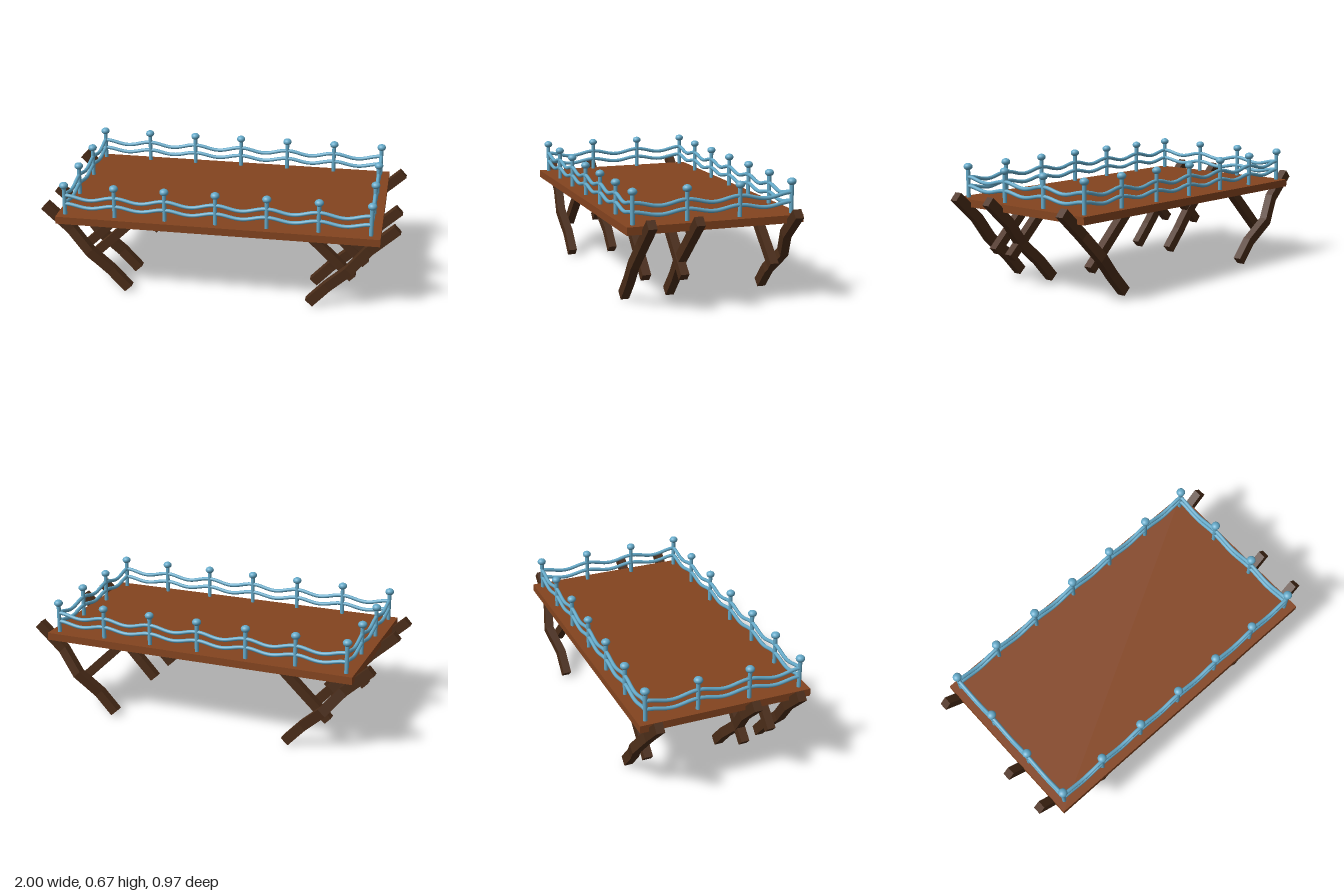
import * as THREE from 'three';

const wood = new THREE.MeshStandardMaterial({ color: 0x84441f });
const darkWood = new THREE.MeshStandardMaterial({ color: 0x4a2c18, flatShading: true });
const blue = new THREE.MeshStandardMaterial({ color: 0x64a9c8 });

function add(parent, name, geometry, material, x = 0, y = 0, z = 0) {
  const mesh = new THREE.Mesh(geometry, material);
  mesh.name = name;
  mesh.position.set(x, y, z);
  parent.add(mesh);
  return mesh;
}

// Rectangular beam swept along points [x, y, z], mitred in the xy plane
function beam(points, thick, depth) {
  const pts = points.map(p => new THREE.Vector3(...p));
  const dir = (a, b) => new THREE.Vector2(b.x - a.x, b.y - a.y).normalize();
  const rings = pts.map((p, i) => {
    const before = dir(pts[Math.max(i - 1, 0)], pts[Math.max(i, 1)]);
    const last = pts.length - 1;
    const after = dir(pts[Math.min(i, last - 1)], pts[Math.min(i + 1, last)]);
    const t = before.clone().add(after).normalize();
    const h = thick / 2 / t.dot(before);
    return [[1, 1], [-1, 1], [-1, -1], [1, -1]].map(([n, d]) =>
      [p.x - t.y * h * n, p.y + t.x * h * n, p.z + d * depth / 2]);
  });
  const out = [];
  const quad = (a, b, c, d) => out.push(...a, ...b, ...c, ...a, ...c, ...d);
  for (let i = 0; i < rings.length - 1; i++) {
    for (let k = 0; k < 4; k++) {
      const m = (k + 1) % 4;
      quad(rings[i][k], rings[i][m], rings[i + 1][m], rings[i + 1][k]);
    }
  }
  quad(...[...rings[0]].reverse());
  quad(...rings[rings.length - 1]);
  const g = new THREE.BufferGeometry();
  g.setAttribute('position', new THREE.Float32BufferAttribute(out, 3));
  g.computeVertexNormals();
  return g;
}

// Sagging rail between two posts
function rail(x0, z0, x1, z1, y, sag) {
  const pts = [];
  for (let i = 0; i <= 10; i++) {
    const t = i / 10;
    const drop = sag * (1 - Math.cos(2 * Math.PI * t)) / 2;
    pts.push(new THREE.Vector3(x0 + (x1 - x0) * t, y - drop, z0 + (z1 - z0) * t));
  }
  return new THREE.TubeGeometry(new THREE.CatmullRomCurve3(pts), 20, 0.0105, 10);
}

export function createModel() {
  const model = new THREE.Group();
  model.name = 'platform';

  add(model, 'deck', new THREE.BoxGeometry(1.79, 0.042, 0.974), wood, 0, 0.455, 0);

  // Crooked legs and their braces: z, sideways bend, brace z, brace outward shift
  const supports = new THREE.Group();
  supports.name = 'supports';
  model.add(supports);
  const rows = [
    [0.384, 0.014, 0.337, 0],
    [0.128, 0.017, 0.148, 0.06],
    [-0.416, -0.034, -0.388, 0],
  ];
  for (const s of [1, -1]) {
    for (const [z, bend, braceZ, shift] of rows) {
      add(supports, 'leg', beam([
        [s * 0.981, 0.5, z],
        [s * 0.835, 0.365, z],
        [s * 0.73, 0.238, z + bend],
        [s * 0.612, 0.125, z],
        [s * 0.515, 0.0195, z],
      ], 0.055, 0.047), darkWood);
      add(supports, 'brace', beam([
        [s * (0.749 + shift), 0.169, braceZ],
        [s * (0.45 + shift), 0.456, braceZ],
      ], 0.049, 0.047), darkWood);
    }
  }

  // Post positions around the deck edge
  const nx = 6, nz = 3;
  const px = i => -0.85 + i * 0.282;
  const pz = j => -0.441 + j * 0.2935;
  const loop = [];
  for (let i = 0; i < nx; i++) loop.push([px(i), pz(0)]);
  for (let j = 0; j < nz; j++) loop.push([px(nx), pz(j)]);
  for (let i = nx; i > 0; i--) loop.push([px(i), pz(nz)]);
  for (let j = nz; j > 0; j--) loop.push([px(0), pz(j)]);

  // Fence: posts with ball caps, two rails per bay
  const fence = new THREE.Group();
  fence.name = 'fence';
  model.add(fence);
  const post = new THREE.CylinderGeometry(0.0115, 0.0115, 0.17, 16);
  const ball = new THREE.SphereGeometry(0.025, 20, 14).scale(1, 0.8, 1);
  loop.forEach(([x, z], i) => {
    const [x1, z1] = loop[(i + 1) % loop.length];
    add(fence, 'post', post, blue, x, 0.55, z);
    add(fence, 'postCap', ball, blue, x, 0.646, z);
    add(fence, 'upperRail', rail(x, z, x1, z1, 0.589, 0.024), blue);
    add(fence, 'lowerRail', rail(x, z, x1, z1, 0.539, 0.021), blue);
  });

  return model;
}
